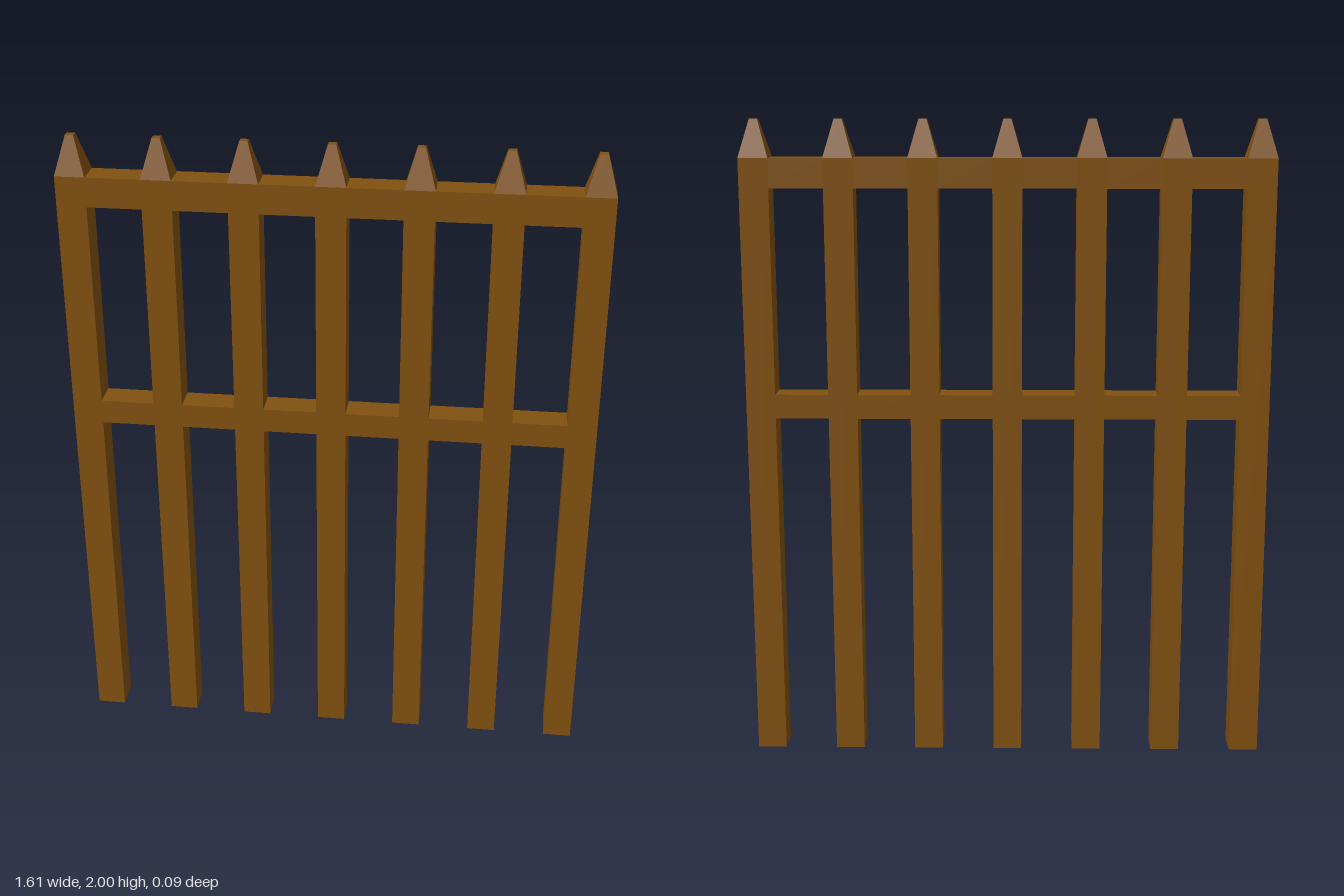
import * as THREE from 'three';

const POSTS = 7, STEP = 0.254, W = 0.09, SHOULDER = 1.885, TOP = 2;

export function createModel() {
  const fence = new THREE.Group();
  fence.name = 'fence';
  const wood = new THREE.MeshStandardMaterial({ color: 0x80500f, flatShading: true });

  const add = (name, geometry, x, y) => {
    const mesh = new THREE.Mesh(geometry, wood);
    mesh.name = name;
    mesh.position.set(x, y, 0);
    fence.add(mesh);
  };

  // Square post and its blunt four-sided spike
  const postGeo = new THREE.BoxGeometry(W, SHOULDER, W);
  const spikeGeo = new THREE.CylinderGeometry(0.012 * Math.SQRT2, (W / 2) * Math.SQRT2, TOP - SHOULDER, 4);
  spikeGeo.rotateY(Math.PI / 4);

  // Rails fill the gaps between posts, flush with their faces
  const rails = [
    { name: 'topRail', bottom: 1.795, top: SHOULDER },
    { name: 'middleRail', bottom: 1.09, top: 1.165 },
  ].map((r) => ({ ...r, geo: new THREE.BoxGeometry(STEP - W, r.top - r.bottom, W) }));

  for (let i = 0; i < POSTS; i++) {
    const x = (i - (POSTS - 1) / 2) * STEP;
    add('post', postGeo, x, SHOULDER / 2);
    add('spike', spikeGeo, x, (SHOULDER + TOP) / 2);
    if (i < POSTS - 1) {
      for (const r of rails) add(r.name, r.geo, x + STEP / 2, (r.bottom + r.top) / 2);
    }
  }
  return fence;
}
